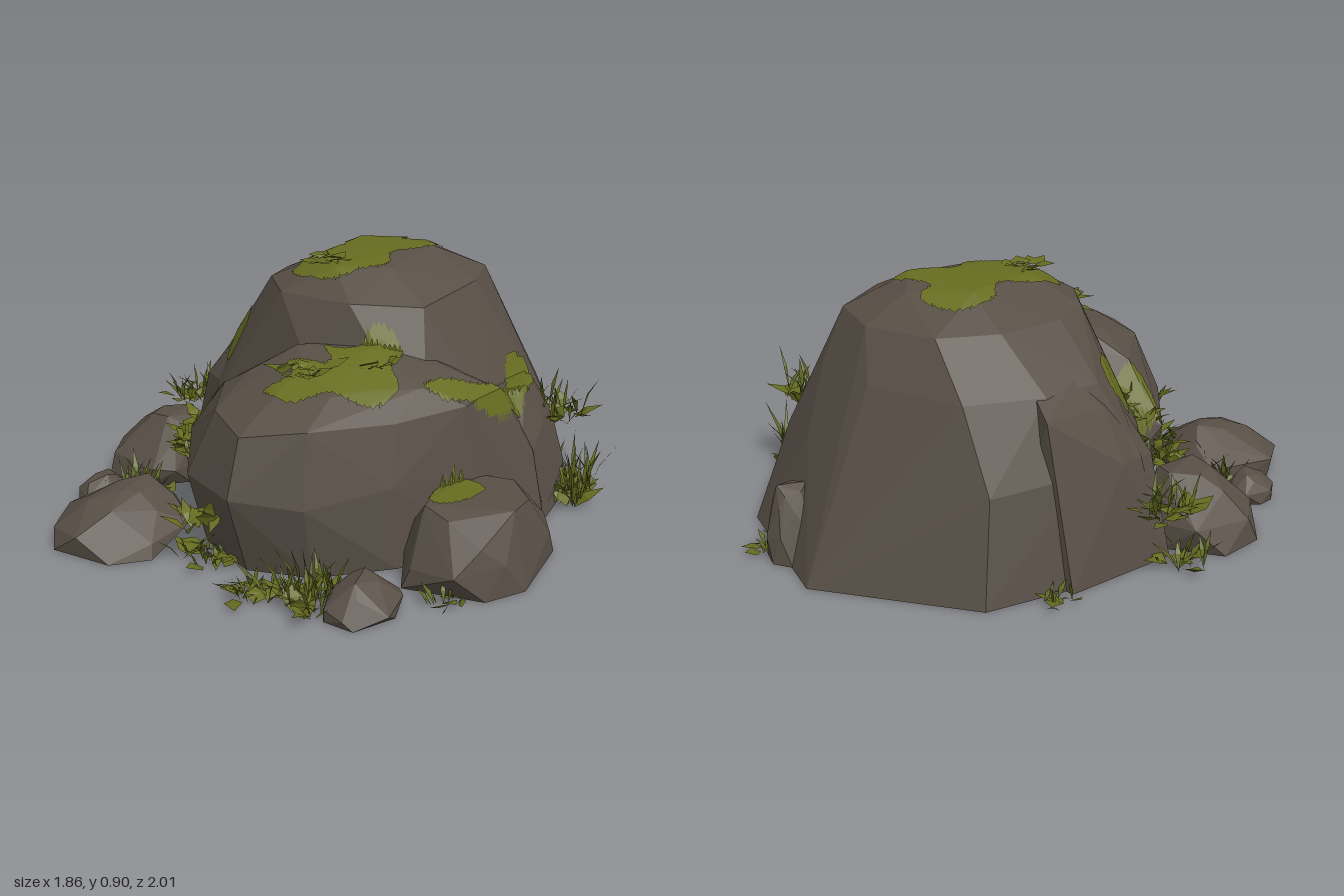
import * as THREE from 'three';
import { ConvexGeometry } from 'three/addons/geometries/ConvexGeometry.js';

const stone = new THREE.MeshStandardMaterial({ color: 0x584f46, flatShading: true });
stone.name = 'stone';
const moss = new THREE.MeshStandardMaterial({ color: 0x666c20, flatShading: true, side: THREE.DoubleSide });
moss.name = 'moss';
const grass = new THREE.MeshStandardMaterial({ color: 0x5f6820, flatShading: true, side: THREE.DoubleSide });
grass.name = 'grass';

// Seeded random numbers in -1..1
function seeded(seed) {
  let s = seed * 7919 + 17;
  return () => {
    s = (s * 16807) % 2147483647;
    return (s / 2147483647) * 2 - 1;
  };
}

function addMesh(group, name, geometry, material) {
  const mesh = new THREE.Mesh(geometry, material);
  mesh.name = name;
  group.add(mesh);
  return mesh;
}

// Faceted rock wrapped around stacked outlines: [height, [x, z, x, z, ...]]
function layeredRock(levels, seed) {
  const rnd = seeded(seed);
  const points = [];
  for (const [y, outline] of levels) {
    for (let i = 0; i < outline.length; i += 2) {
      const jitter = y > 0.02 ? rnd() * 0.018 : 0;
      points.push(new THREE.Vector3(outline[i], y + jitter, outline[i + 1]));
    }
  }
  return new ConvexGeometry(points);
}

// Angular boulder on the ground; peakX and peakZ shift its crown
function boulder(x, z, rx, rz, h, crown, peakX, peakZ, seed) {
  const rnd = seeded(seed);
  const sides = 7;
  const levels = [[0, 0.97], [0.35, 0.98], [0.72, (0.9 + crown) / 2], [0.96, crown]].map(([fy, fr], k) => {
    const outline = [];
    for (let i = 0; i < sides; i++) {
      const a = ((i + 0.4 * (k % 2) + rnd() * 0.3) / sides) * Math.PI * 2;
      const r = fr * (1 + rnd() * 0.08);
      outline.push(x + peakX * fy + Math.cos(a) * rx * r, z + peakZ * fy + Math.sin(a) * rz * r);
    }
    return [0.01 + fy * h, outline];
  });
  return layeredRock(levels, seed + 3);
}

function insideOutline(x, z, o) {
  let inside = false;
  for (let i = 0, j = o.length - 1; i < o.length; j = i++) {
    if (o[i].y > z !== o[j].y > z &&
        x < ((o[j].x - o[i].x) * (z - o[i].y)) / (o[j].y - o[i].y) + o[i].x) inside = !inside;
  }
  return inside;
}

// Thin moss sheet draped over the rocks inside a smooth outline
function mossSheet(rocks, outline) {
  const pts = [];
  for (let i = 0; i < outline.length; i += 2) pts.push(new THREE.Vector3(outline[i], outline[i + 1], 0));
  const curve = new THREE.CatmullRomCurve3(pts, true, 'centripetal').getPoints(60);
  const box = new THREE.Box3().setFromPoints(curve);
  const step = 0.012;
  const ray = new THREE.Raycaster();
  const down = new THREE.Vector3(0, -1, 0);
  const cache = new Map();
  const drape = (i, j) => {
    const key = i + ',' + j;
    if (!cache.has(key)) {
      const x = box.min.x + i * step, z = box.min.y + j * step;
      ray.set(new THREE.Vector3(x, 2, z), down);
      const hit = ray.intersectObjects(rocks, false)[0];
      cache.set(key, [x, (hit ? hit.point.y : 0) + 0.009, z]);
    }
    return cache.get(key);
  };
  const positions = [];
  const nx = Math.ceil((box.max.x - box.min.x) / step), nz = Math.ceil((box.max.y - box.min.y) / step);
  for (let i = 0; i < nx; i++) {
    for (let j = 0; j < nz; j++) {
      const a = drape(i, j), b = drape(i, j + 1), c = drape(i + 1, j + 1), d = drape(i + 1, j);
      for (const tri of [[a, b, c], [a, c, d]]) {
        const cx = (tri[0][0] + tri[1][0] + tri[2][0]) / 3;
        const cz = (tri[0][2] + tri[1][2] + tri[2][2]) / 3;
        const ys = tri.map((p) => p[1]);
        if (Math.max(...ys) - Math.min(...ys) < 0.08 && insideOutline(cx, cz, curve)) positions.push(...tri.flat());
      }
    }
  }
  return trianglesFrom(positions);
}

function trianglesFrom(positions) {
  const g = new THREE.BufferGeometry();
  g.setAttribute('position', new THREE.Float32BufferAttribute(positions, 3));
  g.computeVertexNormals();
  return g;
}

// Tuft of bent pointed blades; wide blades read as leaves
function tuft(x, y, z, spread, height, count, width, seed) {
  const rnd = seeded(seed);
  const positions = [];
  for (let i = 0; i < count; i++) {
    const a = rnd() * Math.PI;
    const lean = spread * (0.45 + 0.4 * rnd());
    const h = height * (0.7 + 0.3 * rnd());
    const w = width * (0.8 + 0.3 * rnd());
    const bx = x + rnd() * spread * 0.5, bz = z + rnd() * spread * 0.5;
    const ca = Math.cos(a), sa = Math.sin(a);
    const at = (out, up, side) => [bx + ca * out - sa * side, Math.max(0.01, y + up), bz + sa * out + ca * side];
    const root = at(0, 0, 0), l = at(lean * 0.4, h * 0.6, w), r = at(lean * 0.4, h * 0.6, -w);
    const tip = at(lean, h, 0);
    positions.push(...root, ...l, ...r, ...l, ...tip, ...r);
  }
  return trianglesFrom(positions);
}

export function createModel() {
  const model = new THREE.Group();
  model.name = 'mossyRocks';

  // Tall rear rock
  const rear = layeredRock([
    [0.01, [-0.74, 0.05, -0.72, -0.25, -0.62, -0.64, -0.13, -0.98, 0.2, -0.88, 0.41, -0.84, 0.6, -0.6, 0.7, -0.25, 0.6, 0.1, 0, 0.33, -0.5, 0.26]],
    [0.37, [-0.66, 0, -0.65, -0.25, -0.56, -0.57, -0.13, -0.79, 0.15, -0.77, 0.36, -0.71, 0.52, -0.52, 0.53, -0.2, 0.45, 0.1, 0.05, 0.28, -0.45, 0.2]],
    [0.62, [-0.53, -0.08, -0.52, -0.3, -0.42, -0.56, -0.1, -0.69, 0.2, -0.66, 0.35, -0.5, 0.36, -0.15, 0.28, 0.08, 0, 0.23, -0.31, 0.15]],
    [0.79, [-0.37, -0.1, -0.36, -0.35, -0.25, -0.53, 0, -0.62, 0.2, -0.57, 0.31, -0.35, 0.31, -0.05, 0.13, 0.13, -0.15, 0.17, -0.31, 0.05]],
    [0.89, [-0.15, -0.03, -0.2, -0.33, -0.02, -0.47, 0.1, -0.37, 0.13, -0.1, 0, 0.05]],
  ], 5);
  // Broad front rock, undercut at its foot
  const front = layeredRock([
    [0.01, [-0.33, 0.42, -0.1, 0.61, 0.15, 0.67, 0.35, 0.57, 0.52, 0.34, 0.66, 0, 0.71, -0.25, 0.55, -0.5, -0.3, 0.2]],
    [0.28, [-0.4, 0.39, -0.12, 0.67, 0.16, 0.76, 0.36, 0.62, 0.5, 0.35, 0.61, 0.05, 0.65, -0.25, 0.5, -0.45]],
    [0.5, [-0.23, 0.38, -0.05, 0.6, 0.15, 0.69, 0.33, 0.57, 0.47, 0.3, 0.57, 0.05, 0.57, -0.15]],
    [0.57, [-0.1, 0.38, 0.15, 0.57, 0.3, 0.42, 0.46, 0.15, 0.47, -0.05]],
    [0.645, [0, 0.25, 0.14, 0.36, 0.25, 0.15, 0.2, 0]],
  ], 8);
  // Sloping slab against the left flank
  const slab = layeredRock([
    [0.01, [-0.72, -0.36, -0.75, 0.06, -0.4, 0.12, -0.4, -0.38]],
    [0.36, [-0.64, 0.07, -0.68, -0.1, -0.63, -0.36, -0.45, 0.17]],
    [0.54, [-0.59, -0.36, -0.58, -0.1, -0.45, 0.04]],
    [0.62, [-0.5, -0.33, -0.5, -0.16]],
  ], 4);
  const rocks = [
    addMesh(model, 'rearRock', rear, stone),
    addMesh(model, 'frontRock', front, stone),
    addMesh(model, 'leftSlab', slab, stone),
  ];

  // Boulders: name, x, z, rx, rz, height, crown, peakX, peakZ
  const boulders = [
    ['rightShoulder', 0.5, -0.33, 0.18, 0.27, 0.47, 0.42, 0, 0],
    ['rightCrest', 0.26, -0.33, 0.1, 0.27, 0.79, 0.5, 0, 0],
    ['rightBoulder', 0.7, 0.14, 0.225, 0.31, 0.25, 0.65, 0, 0],
    ['leftBoulder', -0.69, 0.28, 0.21, 0.21, 0.24, 0.4, 0.06, -0.03],
    ['frontBoulder', -0.36, 0.77, 0.22, 0.24, 0.18, 0.3, 0.01, -0.06],
    ['leftPebble', -0.63, 0.62, 0.09, 0.1, 0.1, 0.4, 0, 0],
    ['rightPebble', 0.6, 0.62, 0.12, 0.14, 0.11, 0.4, 0, 0],
    ['rearPebble', 0.09, -0.88, 0.09, 0.1, 0.25, 0.5, 0.02, 0.01],
  ];
  boulders.forEach(([name, ...size], i) => {
    rocks.push(addMesh(model, name, boulder(...size, i + 11), stone));
  });

  // Moss sheets, outlined as x, z pairs
  const sheets = {
    summitMoss: [-0.22, -0.42, -0.08, -0.46, -0.05, -0.39, 0.11, -0.43, 0.1, -0.3, 0.05, -0.2, 0.11, -0.1, 0.06, 0, 0.03, 0.08, -0.08, 0.1, -0.19, 0.07, -0.19, -0.1, -0.17, -0.2, -0.24, -0.28],
    frontMoss: [0.22, 0.08, 0.31, 0.06, 0.34, 0.16, 0.42, 0.22, 0.4, 0.35, 0.28, 0.42, 0.21, 0.52, 0.08, 0.5, 0.12, 0.41, 0.05, 0.35, 0.2, 0.3, 0.1, 0.22, 0.18, 0.19],
    shoulderMoss: [0.46, -0.47, 0.54, -0.4, 0.6, -0.2, 0.59, -0.05, 0.53, 0.1, 0.46, 0.14, 0.47, 0.04, 0.54, -0.1, 0.52, -0.25, 0.44, -0.38],
    boulderMoss: [0.6, 0.09, 0.69, 0.1, 0.68, 0.24, 0.62, 0.29, 0.57, 0.25],
    gullyMoss: [-0.48, 0.22, -0.36, 0.22, -0.24, 0.26, -0.26, 0.42, -0.36, 0.42, -0.44, 0.34],
    leftMoss: [-0.52, 0.0, -0.46, 0.0, -0.4, 0.1, -0.46, 0.13, -0.52, 0.08],
  };
  for (const [name, outline] of Object.entries(sheets)) addMesh(model, name, mossSheet(rocks, outline), moss);

  // Grass tufts: x, y, z, spread, height, count
  const tufts = [
    [-0.76, 0.19, 0, 0.15, 0.14, 24], [0.6, 0.32, -0.48, 0.15, 0.18, 24],
    [0.66, 0.02, -0.48, 0.15, 0.23, 44], [0.46, 0.01, 0.7, 0.15, 0.19, 44],
    [-0.4, 0.15, 0.34, 0.16, 0.14, 30], [-0.52, 0.01, 0.55, 0.15, 0.16, 30],
    [0.29, 0.01, 0.77, 0.13, 0.09, 24], [0, 0.01, 0.7, 0.16, 0.09, 26],
    [0.16, 0.01, -0.93, 0.1, 0.06, 10], [-0.72, 0.01, -0.42, 0.09, 0.07, 9],
    [0.77, 0.01, 0.42, 0.1, 0.08, 10], [-0.83, 0.01, 0.05, 0.13, 0.12, 14],
  ];
  tufts.forEach(([x, y, z, s, h, n], i) => {
    addMesh(model, 'grassTuft', tuft(x, y, z, s, h, n, 0.01, i + 31), grass);
    addMesh(model, 'leafClump', tuft(x, y, z, s, h * 0.4, Math.ceil(n * 0.55), 0.036, i + 61), moss);
  });
  // Leaf clumps on ledges: x, y, z, spread, height
  const ledges = [
    [0.01, 0.15, 0.75, 0.12, 0.09], [-0.08, 0.885, 0, 0.1, 0.02], [0.17, 0.63, 0.4, 0.13, 0.04],
    [-0.27, 0.37, 0.3, 0.11, 0.06], [-0.34, 0.3, 0.33, 0.11, 0.06], [-0.4, 0.23, 0.36, 0.12, 0.06],
    [-0.47, 0.17, 0.34, 0.12, 0.06], [0.28, 0.62, 0.2, 0.1, 0.04],
  ];
  ledges.forEach(([x, y, z, s, h], i) => addMesh(model, 'ledgeLeaves', tuft(x, y, z, s, h, 14, 0.036, i + 91), moss));

  return model;
}
